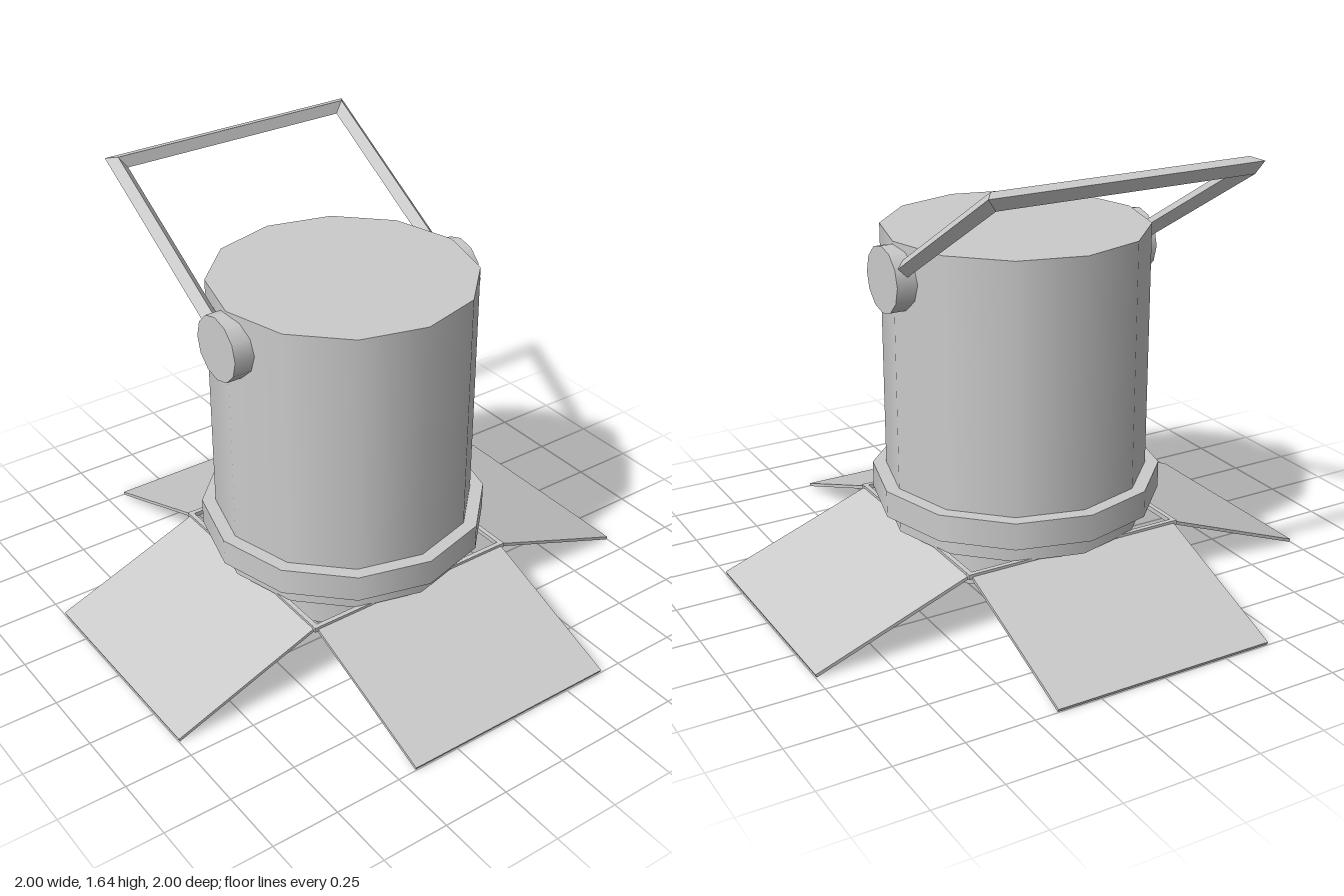
import * as THREE from 'three';
import { toCreasedNormals } from 'three/addons/utils/BufferGeometryUtils.js';

const SIDES = 12;
const material = new THREE.MeshStandardMaterial({ color: 0xcccccc });

function add(parent, name, geometry, x = 0, y = 0, z = 0) {
  const mesh = new THREE.Mesh(geometry, material);
  mesh.name = name;
  mesh.position.set(x, y, z);
  parent.add(mesh);
  return mesh;
}

// Upright twelve-sided drum between two heights
function drum(parent, name, radius, y0, y1) {
  return add(parent, name, new THREE.CylinderGeometry(radius, radius, y1 - y0, SIDES), 0, (y0 + y1) / 2, 0);
}

// U-shaped bracket with a diamond section and mitred corners, lying along -z
function bracketGeometry(halfWidth, start, length, r) {
  // each station: x, reach along the arm, outward direction in the bracket plane
  const stations = [
    [-halfWidth, start, -1, 0],
    [-halfWidth, length, -1, 1],
    [halfWidth, length, 1, 1],
    [halfWidth, start, 1, 0],
  ];
  const positions = [];
  for (const [x, u, dx, du] of stations) {
    positions.push(
      x + dx * r, 0, -(u + du * r),
      x, r, -u,
      x - dx * r, 0, -(u - du * r),
      x, -r, -u,
    );
  }
  const index = [];
  for (let i = 0; i < 3; i++) {
    for (let k = 0; k < 4; k++) {
      const n = (k + 1) % 4;
      const a = i * 4 + k, b = a + 4, c = i * 4 + 4 + n, d = i * 4 + n;
      index.push(a, d, c, a, c, b);
    }
  }
  const indexed = new THREE.BufferGeometry();
  indexed.setAttribute('position', new THREE.Float32BufferAttribute(positions, 3));
  indexed.setIndex(index);
  const geometry = indexed.toNonIndexed();
  geometry.computeVertexNormals();
  return geometry;
}

export function createModel() {
  const model = new THREE.Group();
  model.name = 'stageLight';
  const lamp = new THREE.Group();
  lamp.name = 'lamp';
  lamp.position.x = -0.007;
  model.add(lamp);

  // Housing and its collar
  drum(lamp, 'housing', 0.483, 0.23, 1.32);
  drum(lamp, 'collar', 0.533, 0.3, 0.4);

  // Short snout below the housing with a recessed lens
  const snout = new THREE.LatheGeometry([
    new THREE.Vector2(0.3, 0.17),
    new THREE.Vector2(0.3, 0.07),
    new THREE.Vector2(0.385, 0.07),
    new THREE.Vector2(0.385, 0.24),
  ], SIDES);
  add(lamp, 'snout', toCreasedNormals(snout, 0.7));
  drum(lamp, 'lens', 0.302, 0.15, 0.2);

  // Tilting handle and the two pivot knobs
  const pivotY = 1.19;
  const handle = add(lamp, 'handle', bracketGeometry(0.484, 0.05, 0.82, 0.031), 0, pivotY, 0);
  handle.rotation.x = THREE.MathUtils.degToRad(31);
  for (const side of [-1, 1]) {
    const knob = add(lamp, side > 0 ? 'leftKnob' : 'rightKnob',
      new THREE.CylinderGeometry(0.12, 0.12, 0.1, SIDES), side * 0.477, pivotY, 0);
    knob.rotation.z = Math.PI / 2;
  }

  // Four hinge rods with sloping flaps
  const hinge = 0.424, hingeY = 0.222, tipY = 0.007;
  const flaps = [
    ['front', 0, 0.998],
    ['left', 1, 1.005],
    ['back', 2, 0.998],
    ['right', 3, 0.991],
  ];
  for (const [name, turn, reach] of flaps) {
    const arm = new THREE.Group();
    arm.name = name + 'FlapAssembly';
    arm.rotation.y = turn * Math.PI / 2;
    lamp.add(arm);
    add(arm, name + 'Hinge', new THREE.BoxGeometry(0.868, 0.018, 0.018), 0, 0.226, hinge);
    const run = reach - hinge, drop = hingeY - tipY;
    const flap = add(arm, name + 'Flap', new THREE.BoxGeometry(0.842, 0.012, Math.hypot(run, drop)),
      0, (hingeY + tipY) / 2, (hinge + reach) / 2);
    flap.rotation.x = Math.atan2(drop, run);
  }
  return model;
}
